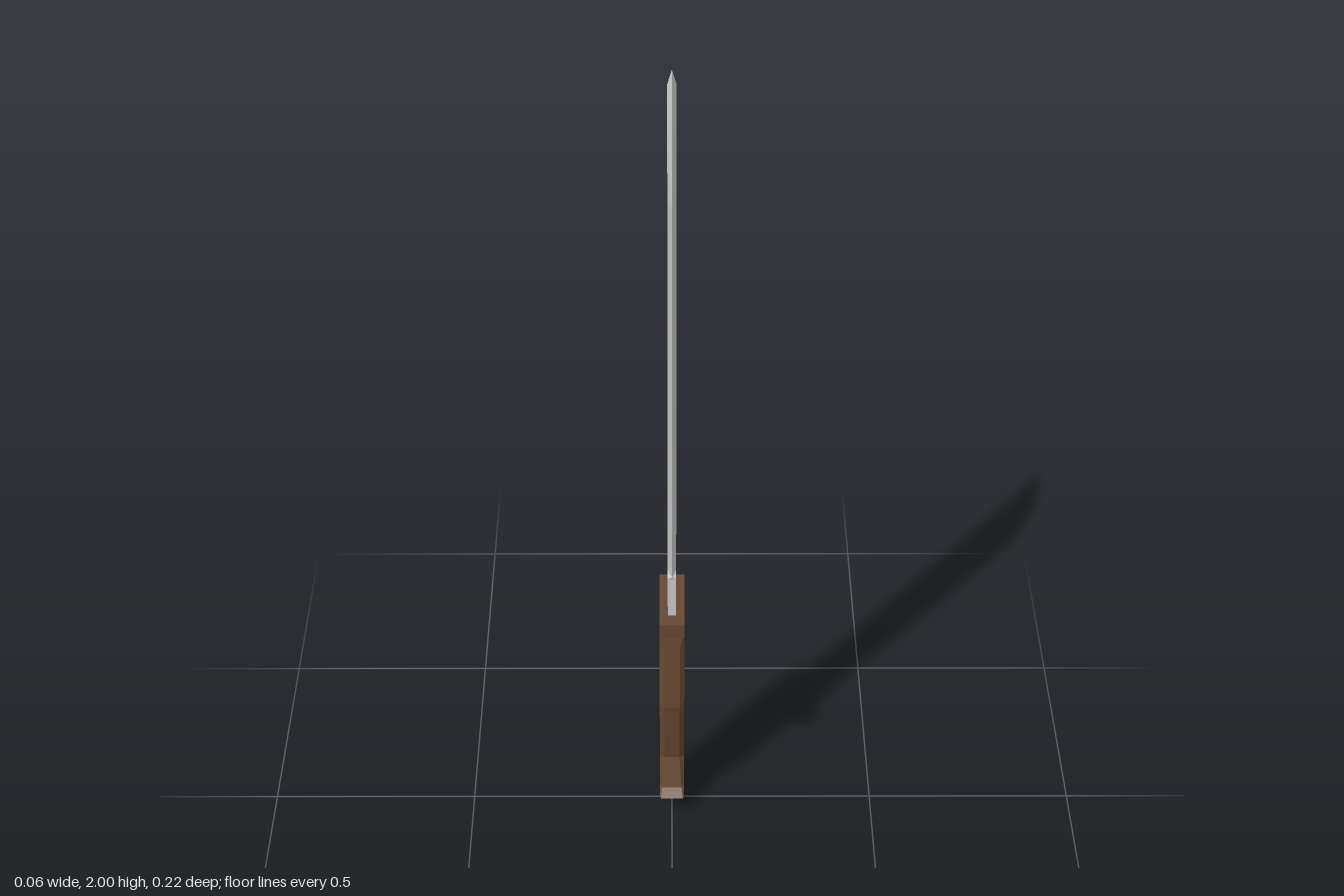
import * as THREE from 'three';

// Slab along x from a profile of points [z, y, edgeX, insetZ, insetY]:
// the flat cheeks follow the inset points, the rim follows (z, y) at half-width edgeX.
function beveledSlab(profile, halfWidth, material, name) {
  const inner = profile.map(([z, y, , iz = z, iy = y]) => new THREE.Vector2(iz, iy));
  const rings = [
    inner.map((p) => new THREE.Vector3(halfWidth, p.y, p.x)),
    profile.map(([z, y, e = halfWidth]) => new THREE.Vector3(e, y, z)),
    profile.map(([z, y, e = halfWidth]) => new THREE.Vector3(-e, y, z)),
    inner.map((p) => new THREE.Vector3(-halfWidth, p.y, p.x)),
  ];
  const points = [];
  const face = (a, b, c) => {
    if (new THREE.Triangle(a, b, c).getArea() > 1e-8) points.push(a, b, c);
  };
  // bevels and rim
  for (let r = 0; r < 3; r++) {
    for (let i = 0; i < profile.length; i++) {
      const j = (i + 1) % profile.length;
      face(rings[r][i], rings[r][j], rings[r + 1][j]);
      face(rings[r][i], rings[r + 1][j], rings[r + 1][i]);
    }
  }
  // flat cheeks
  for (const [a, b, c] of THREE.ShapeUtils.triangulateShape(inner, [])) {
    face(rings[3][a], rings[3][b], rings[3][c]);
    face(rings[0][a], rings[0][c], rings[0][b]);
  }
  const geometry = new THREE.BufferGeometry().setFromPoints(points);
  geometry.computeVertexNormals();
  const mesh = new THREE.Mesh(geometry, material);
  mesh.name = name;
  return mesh;
}

export function createModel() {
  const steel = new THREE.MeshStandardMaterial({ color: 0xc8c8c8 });
  steel.name = 'steel';
  const wood = new THREE.MeshStandardMaterial({ color: 0x654831 });
  wood.name = 'brown wood';

  // blade: square base, ground cutting edge, clipped tip
  const blade = [
    [-0.062, 0.63],
    [0.072, 0.63],
    [0.072, 0.76],
    [0.075, 0.765, 0, 0.042, 0.765],
    [0.08, 1.77, 0, 0.045, 1.76],
    [0.013, 1.926, 0, -0.002, 1.895],
    [-0.108, 2.0, 0, -0.108, 1.965],
    [-0.108, 1.895],
    [-0.086, 1.895],
  ];
  // saw teeth down the spine
  const teeth = 42;
  for (let i = 0; i < teeth; i++) {
    const at = (t) => 1.895 - (1.08 * t) / teeth;
    const root = (t) => -0.086 + (0.039 * t) / teeth;
    blade.push([root(i + 0.5) - 0.019, at(i + 0.5)], [root(i + 1), at(i + 1)]);
  }
  blade.push([-0.062, 0.8]);

  // handle: finger guard, swelling grip, hooked pommel
  const e = 0.019;
  const handle = [
    [-0.03, 0, e, -0.03, 0.013],
    [0.045, 0.037, e, 0.042, 0.049],
    [0.076, 0.063, 0.027, 0.069, 0.066],
    [0.056, 0.082, 0.024, 0.048, 0.082],
    [0.03, 0.16, e, 0.021, 0.16],
    [0.06, 0.35, e, 0.048, 0.35],
    [0.042, 0.52, e, 0.032, 0.52],
    [0.035, 0.575],
    [0.108, 0.61],
    [0.108, 0.65],
    [-0.083, 0.65],
    [-0.1, 0.386, e, -0.086, 0.386],
    [-0.084, 0.03, e, -0.072, 0.038],
  ];

  const model = new THREE.Group();
  model.name = 'sawback machete';
  model.add(beveledSlab(blade, 0.01, steel, 'blade'), beveledSlab(handle, 0.03, wood, 'handle'));
  return model;
}
